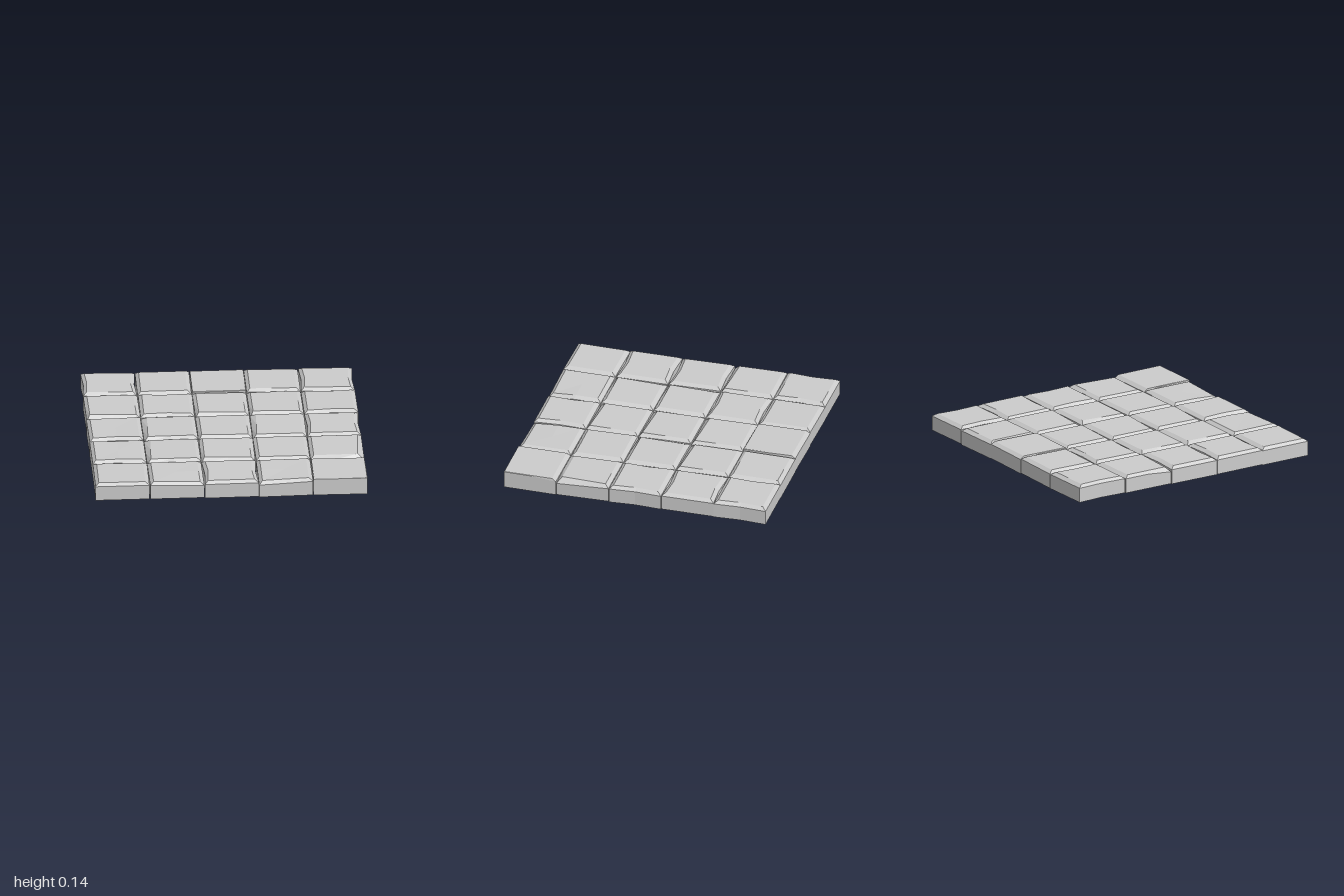
import * as THREE from 'three';

// Slab character by row (back to front) and column (left to right in x):
// x / z pinched sides, f / l / r deep worn bevel on front, left or right,
// b bevelled at the back only, s / S sagging front corner, . plain
const LAYOUT = [
  'x.b.x',
  'fzffz',
  'zlflx',
  'zlf.r',
  '.Sxsb',
];
const PITCH = 0.4, HALF = 0.198;
// Outline counter-clockwise from above, starting at the front -x corner
const RING = [[-1, 1], [0, 1], [1, 1], [1, 0], [1, -1], [0, -1], [-1, -1], [-1, 0]];

// Small seeded generator returning -1..1
function seeded(seed) {
  let s = seed;
  return () => {
    s = (s * 16807) % 2147483647;
    return (s / 2147483647) * 2 - 1;
  };
}

function slabGeometry(kind, rand) {
  const tiltX = rand() * 0.003, tiltZ = rand() * 0.003;
  const skew = rand() * 0.002;
  const bottom = [], shoulder = [], top = [];

  for (const [sx, sz] of RING) {
    // Plan outline, with pinched middles on some slabs
    let x = sx * HALF + sz * skew;
    let z = sz * HALF - sx * skew;
    if (kind === 'x' && sz === 0) x -= sx * 0.011;
    if (kind === 'z' && sx === 0) z -= sz * 0.011;

    // Bevel inset on each of the four sides
    const inset = { f: 0.027, k: 0.03, l: 0.025, r: 0.03 };
    let shoulderY = 0.116, topY = 0.136;
    if (kind === 'b') {
      inset.f = inset.l = inset.r = 0.003;
      if (sz >= 0) shoulderY = 0.133;
    }
    // Worn bevels widen and dip towards one end of their side
    if (kind === 'f') {
      inset.f = 0.03 - sx * 0.01;
      if (sz === 1) shoulderY = 0.105 + sx * 0.007;
    }
    if (kind === 'l') {
      inset.l = 0.036 - sz * 0.008;
      if (sx === -1) shoulderY = 0.106 - sz * 0.006;
    }
    if (kind === 'r') {
      inset.r = 0.038 + sz * 0.01;
      inset.f = 0.032;
      if (sx === 1) shoulderY = 0.106 - sz * 0.006;
    }
    // One sagging front corner
    const sagSide = kind === 's' ? -1 : kind === 'S' ? 1 : 0;
    if (sagSide && sz === 1) {
      const sag = (1 + sx * sagSide) / 2;
      shoulderY -= sag * 0.014;
      topY -= sag * 0.01;
    }

    const tilt = sx * tiltX + sz * tiltZ;
    const dx = sx < 0 ? inset.l : sx > 0 ? -inset.r : 0;
    const dz = sz < 0 ? inset.k : sz > 0 ? -inset.f : 0;
    bottom.push([x, 0.006 + tilt, z]);
    shoulder.push([x, shoulderY + tilt, z]);
    top.push([x + dx, topY + tilt * 0.6, z + dz]);
  }

  // Skin the three cross-sections and close both ends
  const centre = (ring) => [0, ring.reduce((sum, p) => sum + p[1], 0) / ring.length, 0];
  const topMid = centre(top), bottomMid = centre(bottom);
  const position = [];
  const tri = (a, b, c) => position.push(...a, ...b, ...c);
  for (let i = 0; i < RING.length; i++) {
    const j = (i + 1) % RING.length;
    for (const [low, high] of [[bottom, shoulder], [shoulder, top]]) {
      tri(low[i], low[j], high[j]);
      tri(low[i], high[j], high[i]);
    }
    tri(topMid, top[i], top[j]);
    tri(bottomMid, bottom[j], bottom[i]);
  }
  const geometry = new THREE.BufferGeometry();
  geometry.setAttribute('position', new THREE.Float32BufferAttribute(position, 3));
  geometry.computeVertexNormals();
  return geometry;
}

export function createModel() {
  const model = new THREE.Group();
  model.name = 'pavingFloor';
  const stone = new THREE.MeshStandardMaterial({ color: 0xcccccc, flatShading: true });
  const rand = seeded(4271);

  // Five by five grid of worn paving slabs
  LAYOUT.forEach((row, r) => {
    [...row].forEach((kind, c) => {
      const slab = new THREE.Mesh(slabGeometry(kind, rand), stone);
      slab.name = `pavingSlab_${r + 1}_${c + 1}`;
      slab.position.set((c - 2) * PITCH, 0, (r - 2) * PITCH);
      model.add(slab);
    });
  });
  return model;
}
